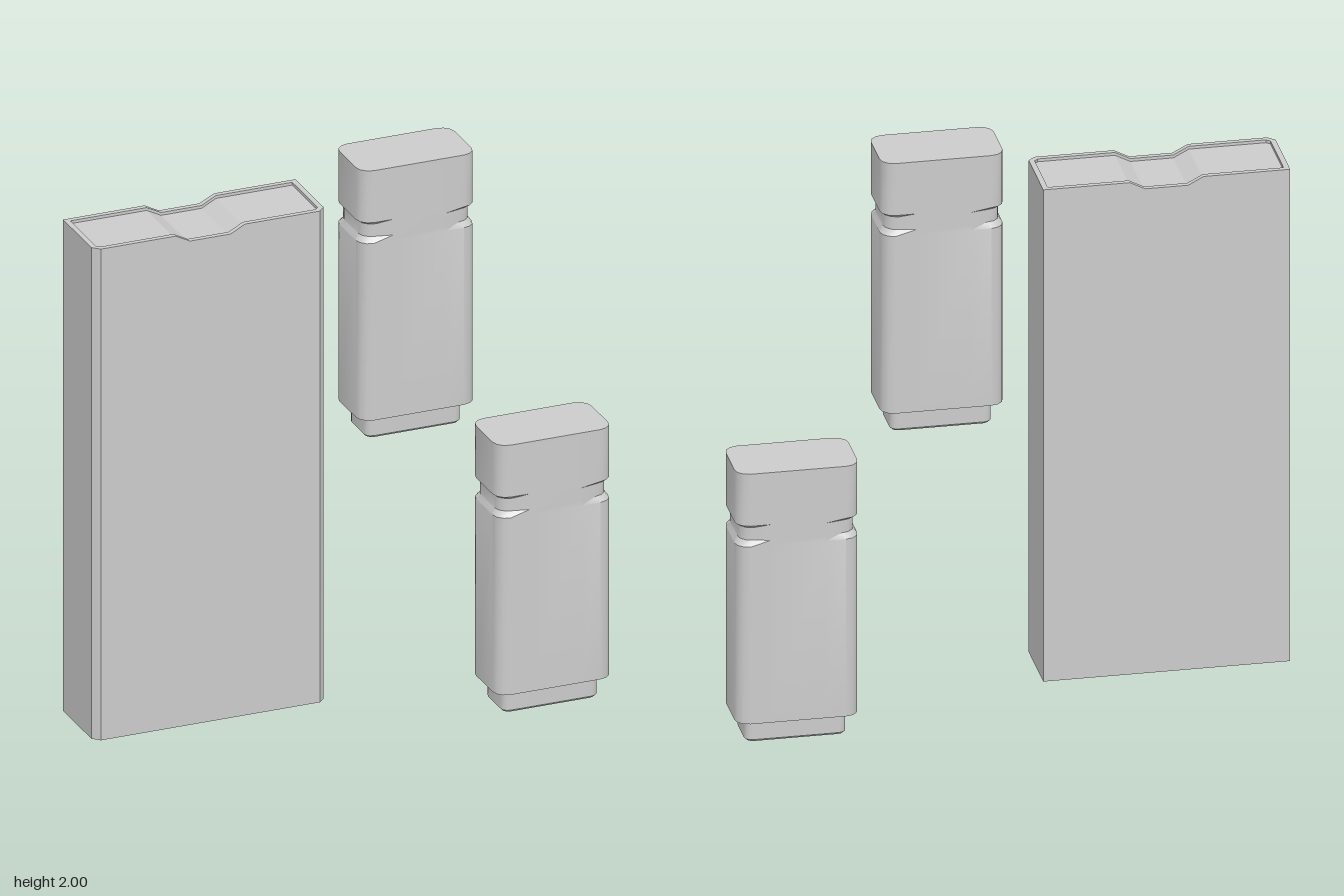
import * as THREE from 'three';
import { toCreasedNormals } from 'three/addons/utils/BufferGeometryUtils.js';

const material = new THREE.MeshStandardMaterial({ color: 0xcccccc });

// Skins closed rings from bottom to top. Each ring runs along the front to +x and
// returns along the back, so point i pairs with point n-1-i for the end caps.
function loft(rings, crease) {
  const n = rings[0].length;
  const index = [];
  const quad = (a, b, c, d) => index.push(a, b, c, a, c, d);
  for (let j = 0; j < rings.length - 1; j++) {
    for (let i = 0; i < n; i++) {
      const k = (i + 1) % n;
      quad(j * n + i, j * n + k, (j + 1) * n + k, (j + 1) * n + i);
    }
  }
  const top = (rings.length - 1) * n;
  for (let i = 0; i < n / 2 - 1; i++) {
    quad(top + i, top + i + 1, top + n - 2 - i, top + n - 1 - i);
    quad(n - 1 - i, n - 2 - i, i + 1, i);
  }
  const geometry = new THREE.BufferGeometry();
  geometry.setAttribute('position', new THREE.Float32BufferAttribute(rings.flat(2), 3));
  geometry.setIndex(index);
  return toCreasedNormals(geometry, crease);
}

// Rounded rectangle; the middle of the front and back stays clear of the inset.
function roundedRing(y, hx, hz, r, inset = 0) {
  const front = [];
  for (let s = 0; s <= 3; s++) {
    const a = Math.PI - (s / 3) * Math.PI / 2;
    front.push([-(hx - inset - r) + r * Math.cos(a), hz - inset - r + r * Math.sin(a)]);
  }
  front.push([-hx * 0.45, hz]);
  const half = [...front, ...front.map(([x, z]) => [-x, z]).reverse()];
  return [
    ...half.map(([x, z]) => [x, y, z]),
    ...half.map(([x, z]) => [x, y, -z]).reverse(),
  ];
}

// Bottle standing on its narrow neck, with a finger groove below the broad end
function bottle(name, x, y) {
  const body = [[0.08, 0], [0.70, 0], [0.718, 0.012], [0.762, 0.012], [0.773, 0], [0.955, 0]];
  const rings = [
    roundedRing(0, 0.158, 0.068, 0.022),
    roundedRing(0.008, 0.165, 0.075, 0.025),
    roundedRing(0.08, 0.165, 0.075, 0.025),
    ...body.map(([h, inset]) => roundedRing(h, 0.2, 0.113, 0.045, inset)),
  ];
  const mesh = new THREE.Mesh(loft(rings, 0.6), material);
  mesh.name = name;
  mesh.position.set(x, y, 0.022);
  return mesh;
}

// Case outline with bevelled front corners; the top edge dips at the thumb notch
function caseRing(y, inset, notched) {
  const hx = 0.402 - inset;
  const front = 0.122 - inset;
  const back = -0.135 + inset;
  const bevel = 0.023 - inset * 0.6;
  const xs = [-hx, -hx + bevel, -0.12, -0.07, 0.07, 0.12, hx - bevel, hx];
  const height = (x) => y - (notched ? 0.026 * THREE.MathUtils.clamp((0.12 - Math.abs(x)) / 0.05, 0, 1) : 0);
  return [
    ...xs.map((x, i) => [x, height(x), i % 7 === 0 ? front - bevel : front]),
    ...xs.map((x) => [x, height(x), back]).reverse(),
  ];
}

export function createModel() {
  const model = new THREE.Group();

  // Flat case with shallow recessed ends inside a thin rim
  const flatCase = new THREE.Mesh(loft([
    caseRing(0.174, 0.018, false),
    caseRing(0.164, 0.018, false),
    caseRing(0.164, 0, false),
    caseRing(1.885, 0, true),
    caseRing(1.885, 0.018, true),
    caseRing(1.875, 0.018, true),
  ], 0.3), material);
  flatCase.name = 'case';
  flatCase.position.x = -0.497;
  model.add(flatCase);

  model.add(bottle('upperBottle', 0.22, 1.045));
  model.add(bottle('lowerBottle', 0.693, 0));
  return model;
}
